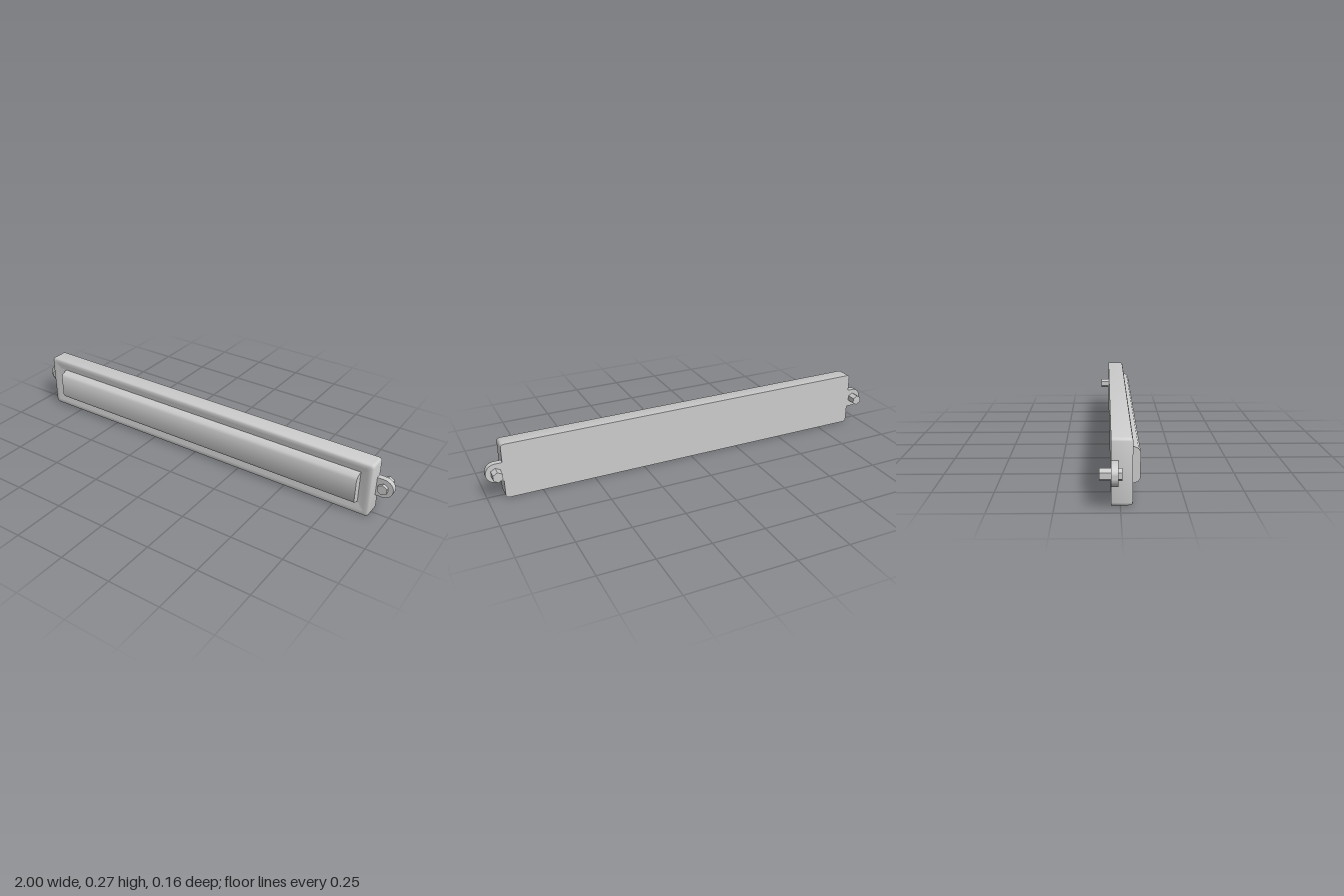
import * as THREE from 'three';
import { toCreasedNormals } from 'three/addons/utils/BufferGeometryUtils.js';

const material = new THREE.MeshStandardMaterial({ color: 0xcccccc });
const WIDTH = 1.847, HEIGHT = 0.267, MID_Y = HEIGHT / 2;

function addMesh(parent, name, geometry) {
  const mesh = new THREE.Mesh(geometry, material);
  mesh.name = name;
  parent.add(mesh);
  return mesh;
}

// Outline of a rectangle with rounded corners, counter-clockwise
function roundedOutline(inset, radius, steps = 3) {
  const hx = WIDTH / 2 - inset - radius, hy = HEIGHT / 2 - inset - radius;
  const points = [];
  [[1, 1], [-1, 1], [-1, -1], [1, -1]].forEach(([sx, sy], corner) => {
    for (let i = 0; i <= steps; i++) {
      const a = (corner + i / steps) * Math.PI / 2;
      points.push([sx * hx + radius * Math.cos(a), sy * hy + radius * Math.sin(a)]);
    }
  });
  return points;
}

// Housing: rounded outlines joined from the back, over the rim, into the recess
function housingGeometry() {
  const rings = [
    [0, 0.014, -0.035], [0, 0.014, 0.039], [0.003, 0.013, 0.045],
    [0.009, 0.012, 0.048], [0.025, 0.01, 0.048], [0.05, 0.008, 0.04],
  ];
  const positions = [], index = [];
  let n = 0;
  for (const [inset, radius, z] of rings) {
    const outline = roundedOutline(inset, radius);
    n = outline.length;
    for (const [x, y] of outline) positions.push(x, y, z);
  }
  const back = positions.length / 3, front = back + 1;
  positions.push(0, 0, rings[0][2], 0, 0, rings.at(-1)[2]);
  const last = (rings.length - 1) * n;
  for (let i = 0; i < n; i++) {
    const j = (i + 1) % n;
    for (let r = 0; r < last; r += n) {
      index.push(r + i, r + j, r + n + j, r + i, r + n + j, r + n + i);
    }
    index.push(back, j, i, front, last + i, last + j);
  }
  const geometry = new THREE.BufferGeometry();
  geometry.setAttribute('position', new THREE.Float32BufferAttribute(positions, 3));
  geometry.setIndex(index);
  return toCreasedNormals(geometry, 0.8);
}

// Lens: soft-cornered profile in z and y, run along x
function lensGeometry() {
  const profile = [
    [0.03, 0.062], [0.048, 0.062], [0.072, 0.07], [0.08, 0.085],
    [0.08, 0.19], [0.072, 0.203], [0.048, 0.213], [0.03, 0.213],
  ].map(([z, y]) => new THREE.Vector2(z, y));
  const geometry = new THREE.ExtrudeGeometry(new THREE.Shape(profile), { depth: 1.7, bevelEnabled: false });
  geometry.rotateY(-Math.PI / 2).translate(0.863, 0, 0);
  return toCreasedNormals(geometry, 1.15);
}

// Mounting ear: half-round tab pointing along +x, around the bolt
function earGeometry() {
  const r = 0.046;
  const shape = new THREE.Shape();
  shape.moveTo(-0.045, -r);
  shape.lineTo(0, -r);
  shape.absarc(0, 0, r, -Math.PI / 2, Math.PI / 2, false);
  shape.lineTo(-0.045, r);
  shape.closePath();
  const geometry = new THREE.ExtrudeGeometry(shape, { depth: 0.027, bevelEnabled: false, curveSegments: 10 });
  geometry.translate(0, 0, -0.035);
  return toCreasedNormals(geometry, 0.6);
}

export function createModel() {
  const model = new THREE.Group();
  model.name = 'lightBar';

  addMesh(model, 'housing', housingGeometry()).position.set(-0.002, MID_Y, 0);
  addMesh(model, 'lens', lensGeometry());

  // One ear and hexagonal bolt at each end
  for (const [side, label] of [[1, 'left'], [-1, 'right']]) {
    const mount = new THREE.Group();
    mount.name = label + 'Mount';
    mount.position.set(side * 0.954, 0.1345, 0);
    if (side < 0) mount.rotation.z = Math.PI;
    addMesh(mount, label + 'Ear', earGeometry());
    const bolt = new THREE.CylinderGeometry(0.025, 0.025, 0.086, 6);
    bolt.rotateX(Math.PI / 2).translate(0, 0, -0.036);
    addMesh(mount, label + 'Bolt', toCreasedNormals(bolt, 0.5));
    model.add(mount);
  }
  return model;
}
